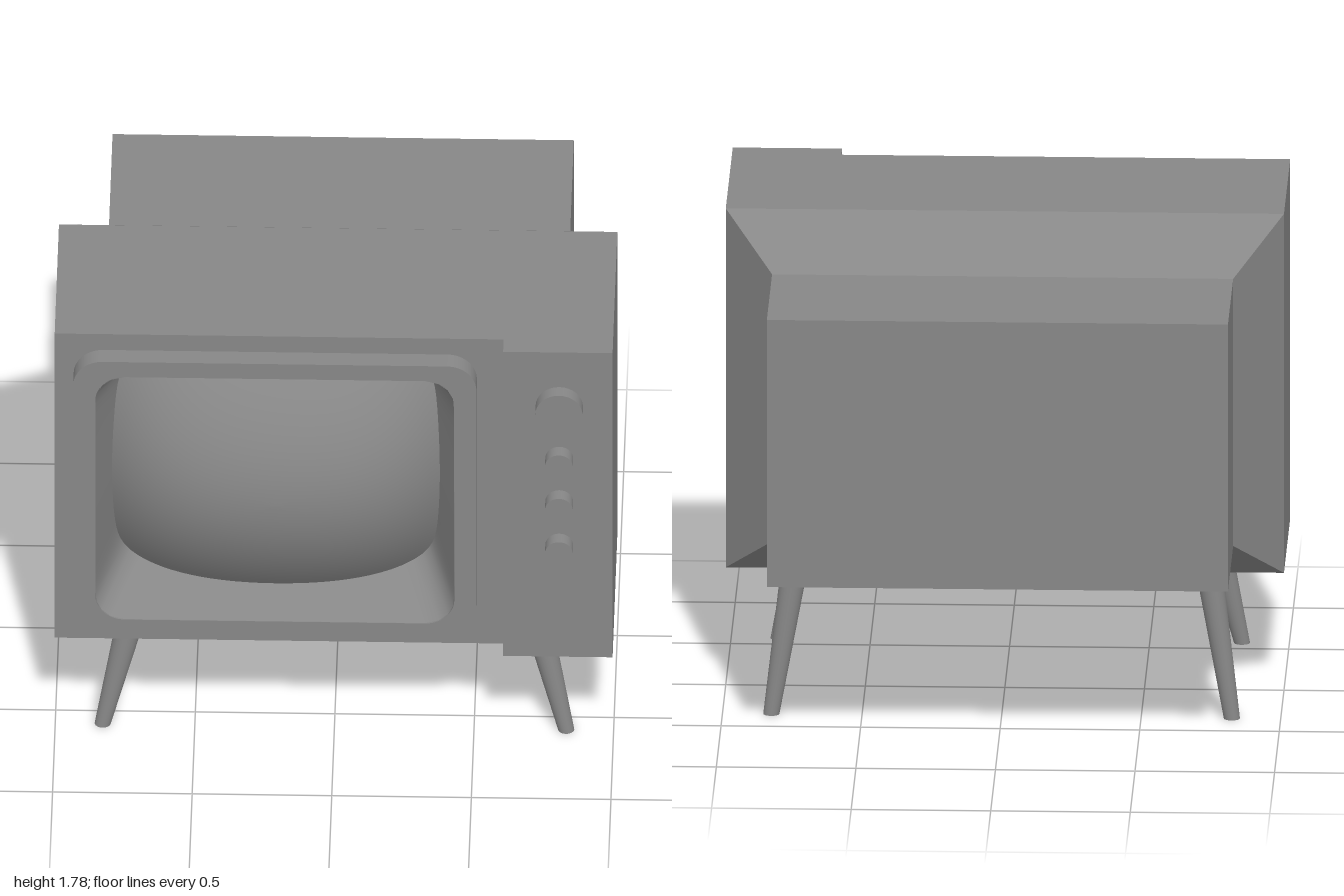
import * as THREE from 'three';

const CX = -0.21, CY = 1.113; // centre of the picture tube

export function createModel() {
  const group = new THREE.Group();
  const mat = new THREE.MeshStandardMaterial({ color: 0x878787 });
  const thin = new THREE.MeshStandardMaterial({ color: 0x878787, side: THREE.DoubleSide });

  function add(name, geometry, material = mat) {
    const mesh = new THREE.Mesh(geometry, material);
    mesh.name = name;
    group.add(mesh);
    return mesh;
  }

  // Box given by its limits on each axis
  function box(name, x0, x1, y0, y1, z0, z1) {
    const g = new THREE.BoxGeometry(x1 - x0, y1 - y0, z1 - z0);
    return add(name, g.translate((x0 + x1) / 2, (y0 + y1) / 2, (z0 + z1) / 2));
  }

  // Rounded rectangle centred on the tube, with half sizes a and b
  function roundRect(target, a, b, r) {
    target.moveTo(CX + a - r, CY - b);
    target.absarc(CX + a - r, CY - b + r, r, -Math.PI / 2, 0);
    target.absarc(CX + a - r, CY + b - r, r, 0, Math.PI / 2);
    target.absarc(CX - a + r, CY + b - r, r, Math.PI / 2, Math.PI);
    target.absarc(CX - a + r, CY - b + r, r, Math.PI, Math.PI * 1.5);
    target.closePath();
    return target;
  }

  // Extruded plate with the screen opening cut through it
  function framed(name, shape, z0, z1) {
    shape.holes.push(roundRect(new THREE.Path(), 0.643, 0.536, 0.105));
    const g = new THREE.ExtrudeGeometry(shape, { depth: z1 - z0, bevelEnabled: false, curveSegments: 10 });
    return add(name, g.translate(0, 0, z0));
  }

  // Skin over a series of closed rings of equal length
  function loft(rings) {
    const n = rings[0].length, index = [];
    for (let i = 0; i < rings.length - 1; i++) {
      for (let j = 0; j < n; j++) {
        const k = (j + 1) % n, a = i * n, b = a + n;
        index.push(a + j, b + k, b + j, a + j, a + k, b + k);
      }
    }
    const g = new THREE.BufferGeometry().setFromPoints(rings.flat());
    g.setIndex(index.reverse());
    g.computeVertexNormals();
    return g;
  }

  // Cabinet: main body, control panel, tapered shoulder and rear housing
  const body = new THREE.Shape();
  body.moveTo(-1, 0.44);
  body.lineTo(1, 0.44);
  body.lineTo(1, 1.785);
  body.lineTo(-1, 1.785);
  body.closePath();
  framed('cabinet', body, 0, 0.665);
  box('controlPanel', 0.608, 1, 0.44, 1.785, 0.665, 0.74);
  box('rearHousing', -0.826, 0.826, 0.612, 1.613, -0.793, -0.238);
  const shoulder = box('shoulder', -1, 1, 0.44, 1.785, -0.238, 0).geometry;
  const p = shoulder.attributes.position;
  for (let i = 0; i < p.count; i++) {
    if (p.getZ(i) < -0.1) {
      p.setX(i, Math.sign(p.getX(i)) * 0.826);
      p.setY(i, p.getY(i) > 1 ? 1.613 : 0.612);
    }
  }
  shoulder.computeVertexNormals();

  // Raised frame around the screen
  framed('screenBezel', roundRect(new THREE.Shape(), 0.722, 0.602, 0.105), 0.665, 0.738);

  // Domed screen with bowed sides and tight corners
  const N = 128;
  const domeZ = (x, y) => 0.775 - 0.35 * x * x - 0.8 * x ** 4 - 0.83 * y * y;
  const angles = Array.from({ length: N }, (_, j) => (j / N) * Math.PI * 2);
  const outline = (s) => angles.map((t) => {
    const c = Math.cos(t), d = Math.sin(t);
    const k = (c ** 10 + d ** 10) ** -0.1;
    const x = s * 0.587 * c * k * (1 - 0.05 * (d * k) ** 2);
    const y = s * 0.477 * d * k * (1 - 0.07 * (c * k) ** 2);
    return new THREE.Vector3(CX + x, CY + y, domeZ(x, y));
  });
  const rings = [];
  for (let i = 16; i >= 0; i--) rings.push(outline(i / 16));
  add('screen', loft(rings), thin);

  // Sloping recess from the bezel opening back to the edge of the screen
  const edge = rings[0];
  const opening = edge.map((v) => {
    // walk outward from the centre to the rounded opening
    const a = 0.642, b = 0.535, r = 0.105;
    const dx = Math.abs(v.x - CX), dy = Math.abs(v.y - CY);
    const inside = (k) => {
      const qx = Math.max(dx * k - a + r, 0), qy = Math.max(dy * k - b + r, 0);
      return Math.hypot(qx, qy) <= r;
    };
    let lo = 0, hi = 3;
    for (let i = 0; i < 30; i++) {
      const mid = (lo + hi) / 2;
      if (inside(mid)) lo = mid; else hi = mid;
    }
    return new THREE.Vector3(CX + (v.x - CX) * lo, CY + (v.y - CY) * lo, 0.737);
  });
  add('screenRecess', loft([opening, edge]), thin);

  // Control knobs, the tuner being the largest
  [[1.547, 0.085], [1.318, 0.05], [1.126, 0.05], [0.934, 0.05]].forEach(([y, r], i) => {
    const g = new THREE.CylinderGeometry(r, r, 0.055, 32).rotateX(Math.PI / 2);
    add(i ? 'smallKnob' : 'tunerKnob', g.translate(0.809, y, 0.7655));
  });

  // Splayed tapering legs, mirrored left and right
  function leg(name, side, h, xTop, zTop, xFoot, zFoot) {
    const g = new THREE.CylinderGeometry(0.051, 0.029, h, 24).translate(0, h / 2, 0);
    const lean = new THREE.Matrix4();
    lean.elements[4] = side * (xTop - xFoot) / h;
    lean.elements[6] = (zTop - zFoot) / h;
    add(name, g.applyMatrix4(lean).translate(side * xFoot, 0, zFoot));
  }
  for (const side of [-1, 1]) {
    const label = side > 0 ? 'left' : 'right';
    leg(label + 'FrontLeg', side, 0.442, 0.73, 0.543, 0.83, 0.575);
    leg(label + 'RearLeg', side, 0.614, 0.732, -0.31, 0.825, -0.345);
  }
  return group;
}
